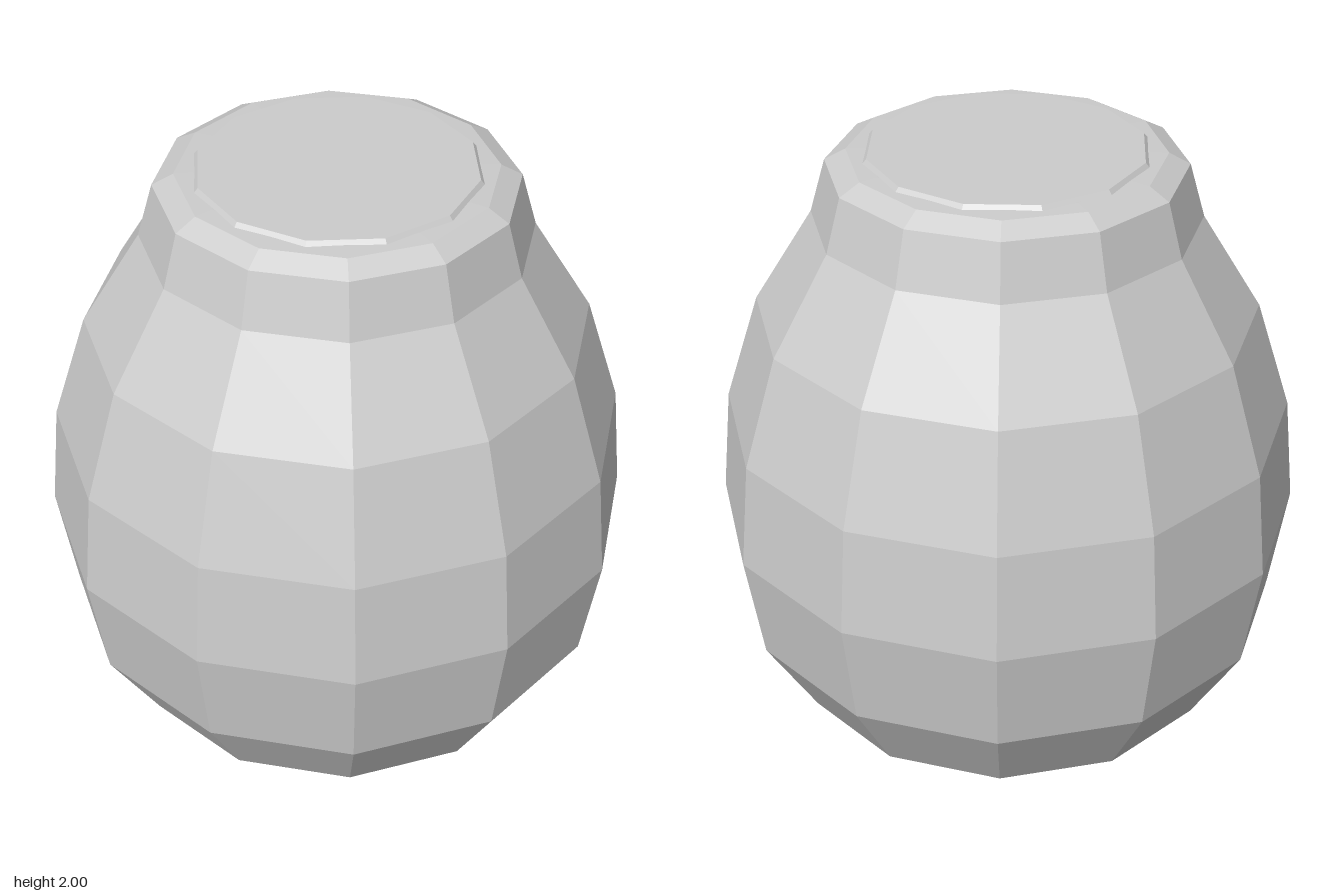
import * as THREE from 'three';

const SIDES = 12;
const FLAT = 1 / Math.cos(Math.PI / SIDES); // flat-to-flat half width -> corner radius

export function createModel() {
  const model = new THREE.Group();
  const grey = new THREE.MeshStandardMaterial({ color: 0xcccccc, flatShading: true });
  grey.name = 'plainGrey';

  // Faceted solid of revolution; points are [radius, height] from bottom to top
  const turned = (name, points, start) => {
    const profile = points.map(([r, y]) => new THREE.Vector2(r, y));
    const mesh = new THREE.Mesh(new THREE.LatheGeometry(profile, SIDES, start), grey);
    mesh.name = name;
    model.add(mesh);
  };
  const acrossFlats = (points) => points.map(([w, y]) => [w * FLAT, y]);

  // Bulging barrel body with closed base, flat sides facing the axes
  turned('body', acrossFlats([
    [0, 0], [0.447, 0], [0.685, 0.155], [0.845, 0.435], [0.897, 0.787],
    [0.864, 1.13], [0.756, 1.48], [0.577, 1.78], [0.53, 1.95],
  ]), Math.PI / SIDES);

  // Bevelled shoulder closing the mouth
  turned('rim', acrossFlats([
    [0.53, 1.95], [0.467, 1.985], [0.41, 1.988], [0, 1.988],
  ]), Math.PI / SIDES);

  // Thin lid with its corners on the axes
  turned('lid', [[0.437, 1.986], [0.425, 2], [0, 2]], 0);

  return model;
}
